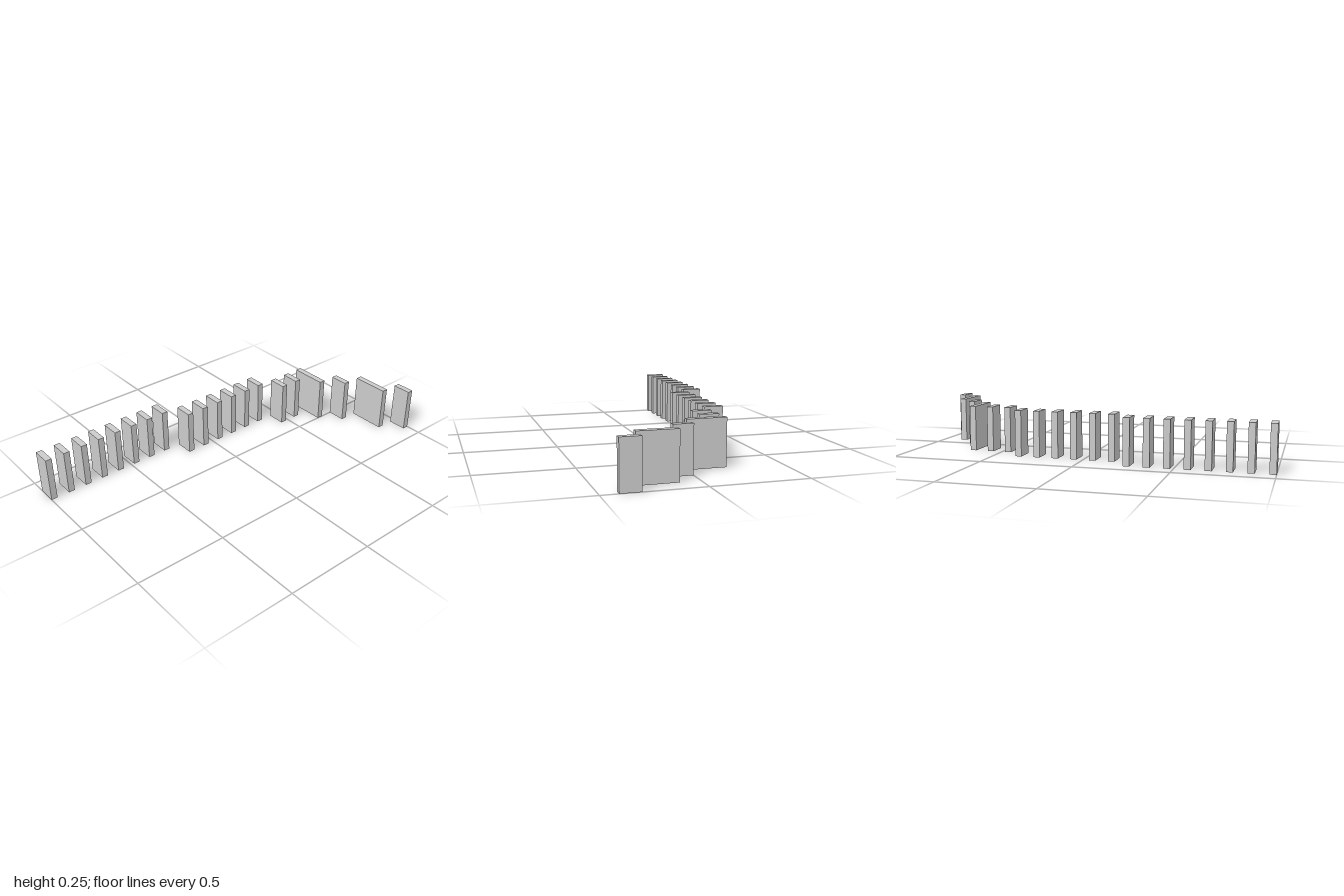
import * as THREE from 'three';

// A winding row of upright slabs laid out on a square grid.
const CELL = 2 / (19 + 1 / 3); // grid pitch
const THICKNESS = CELL / 3;
const HEIGHT = CELL * 2.4;
const COLUMNS = 8;

// Runs from back to front: first column, width in cells, number of rows
const RUNS = [
  { column: 7, width: 1, rows: 1 },
  { column: 5, width: 2, rows: 1 },
  { column: 4, width: 1, rows: 1 },
  { column: 2, width: 2, rows: 1 },
  { column: 2, width: 1, rows: 2 },
  { column: 1, width: 1, rows: 6 },
  { column: 0, width: 1, rows: 8 },
];

export function createModel() {
  const group = new THREE.Group();
  group.name = 'slabRow';
  const material = new THREE.MeshStandardMaterial({ color: 0xcccccc });

  let row = 0;
  for (const { column, width, rows } of RUNS) {
    const geometry = new THREE.BoxGeometry(width * CELL, HEIGHT, THICKNESS);
    for (let i = 0; i < rows; i++, row++) {
      const slab = new THREE.Mesh(geometry, material);
      slab.name = width > 1 ? 'wideSlab' : 'slab';
      slab.position.set(
        (column + width / 2 - COLUMNS / 2) * CELL,
        HEIGHT / 2,
        (row - 9.5) * CELL,
      );
      group.add(slab);
    }
  }
  return group;
}
